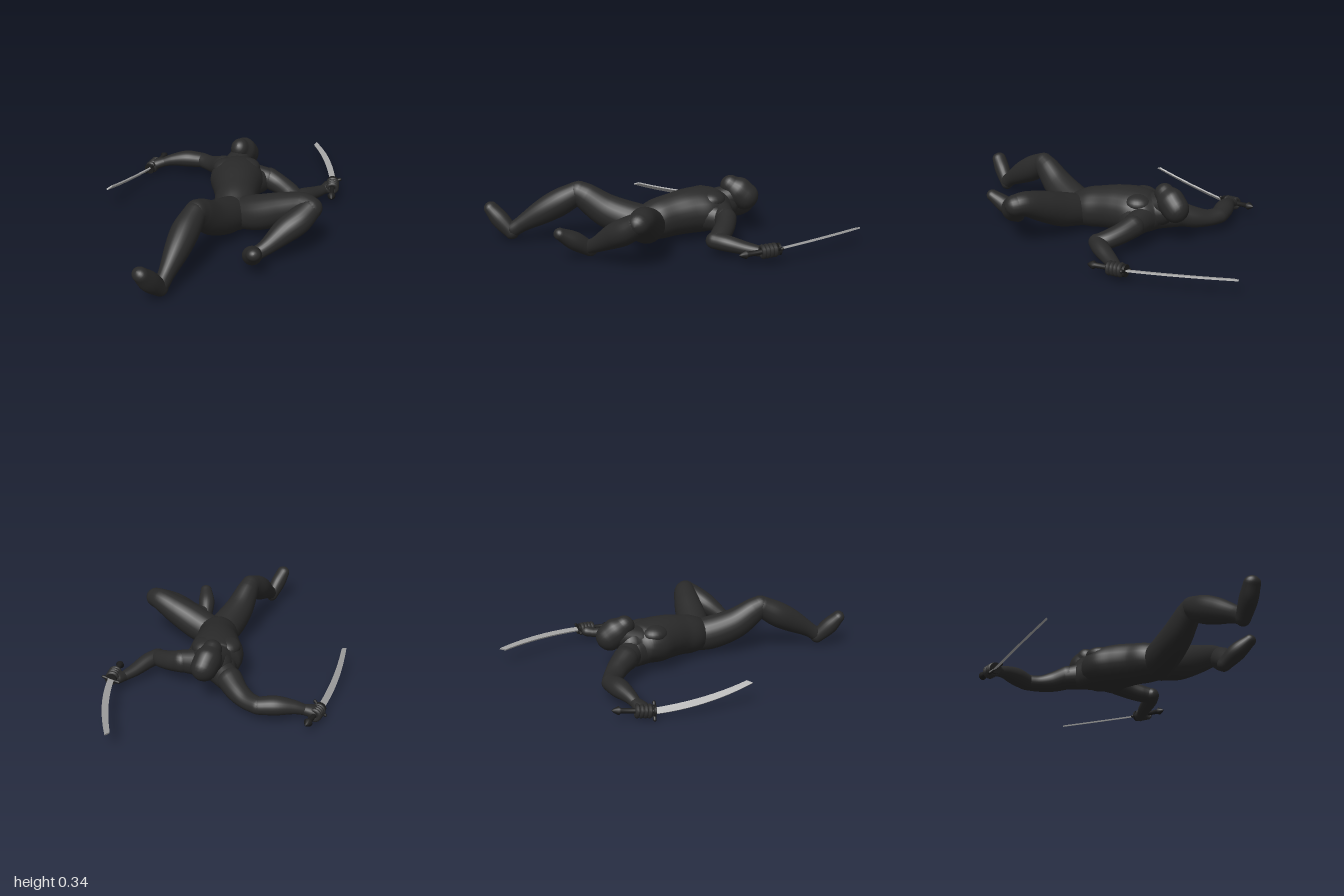
import * as THREE from 'three';

const suit = new THREE.MeshStandardMaterial({ color: 0x292929 });
suit.name = 'charcoal suit';
const grip = new THREE.MeshStandardMaterial({ color: 0x1d1d1d });
grip.name = 'black grip';
const steel = new THREE.MeshStandardMaterial({ color: 0xa4a4a4 });
steel.name = 'grey steel';

const V = (x, y, z) => new THREE.Vector3(x, y, z);

// Smooth swept body part; stations are [x, y, z, halfWidth, halfHeight], ends are rounded
function limb(name, stations) {
  const path = new THREE.CatmullRomCurve3(stations.map((s) => V(s[0], s[1], s[2])));
  const size = new THREE.CatmullRomCurve3(stations.map((s) => V(s[3], s[4], 0)), false, 'catmullrom');
  const rows = [], caps = 6, steps = (stations.length - 1) * 6, sides = 24;
  for (let i = 0; i < caps; i++) rows.push([0, -Math.cos((i / caps) * Math.PI / 2), Math.sin((i / caps) * Math.PI / 2)]);
  for (let i = 0; i <= steps; i++) rows.push([i / steps, 0, 1]);
  for (let i = caps - 1; i >= 0; i--) rows.push([1, Math.cos((i / caps) * Math.PI / 2), Math.sin((i / caps) * Math.PI / 2)]);
  const pos = [], index = [];
  rows.forEach(([u, out, k], i) => {
    const t = path.getTangent(u), r = size.getPoint(u);
    const side = V(0, 1, 0).cross(t).negate().normalize();
    const up = side.clone().cross(t);
    const c = path.getPoint(u).addScaledVector(t, out * Math.min(r.x, r.y));
    const scale = Math.max(k, 0.001);
    for (let j = 0; j < sides; j++) {
      const a = (j / sides) * Math.PI * 2;
      const p = c.clone().addScaledVector(side, Math.cos(a) * r.x * scale).addScaledVector(up, Math.sin(a) * r.y * scale);
      pos.push(p.x, p.y, p.z);
      if (i < rows.length - 1) {
        const n = (j + 1) % sides, A = i * sides, B = A + sides;
        index.push(A + j, B + j, A + n, B + j, B + n, A + n);
      }
    }
  });
  const g = new THREE.BufferGeometry();
  g.setAttribute('position', new THREE.Float32BufferAttribute(pos, 3));
  g.setIndex(index);
  g.computeVertexNormals();
  return part(name, g, suit);
}

function part(name, geometry, material, x = 0, y = 0, z = 0) {
  const m = new THREE.Mesh(geometry, material);
  m.name = name;
  m.position.set(x, y, z);
  return m;
}

// Curved sword with the fingers closed round its grip; local y runs to the tip, x towards the bulge
function sword(name, pommel, guard, tip, bulge) {
  const group = new THREE.Group();
  group.name = name;
  const y = tip.clone().sub(guard), length = y.length();
  y.normalize();
  const x = bulge.clone().addScaledVector(y, -bulge.dot(y)).normalize();
  group.quaternion.setFromRotationMatrix(new THREE.Matrix4().makeBasis(x, y, x.clone().cross(y)));
  group.position.copy(guard);

  const s = new THREE.Shape();
  s.moveTo(0.017, 0);
  s.quadraticCurveTo(0.058, length * 0.5, 0.004, length);
  s.lineTo(-0.018, length * 0.95);
  s.quadraticCurveTo(0.018, length * 0.5, -0.016, 0);
  const blade = new THREE.ExtrudeGeometry(s, { depth: 0.009, bevelEnabled: false, curveSegments: 16 });
  group.add(part('blade', blade, steel, 0, 0, -0.0045));

  // Hilt, leaning from the pommel to the guard
  const hilt = new THREE.Group();
  hilt.name = 'hilt';
  const lean = guard.clone().sub(pommel).normalize().applyQuaternion(group.quaternion.clone().invert());
  hilt.quaternion.setFromUnitVectors(V(0, 1, 0), lean);
  hilt.add(part('guard', new THREE.CylinderGeometry(0.032, 0.032, 0.012, 20), grip));
  const bar = part('crossBar', new THREE.CapsuleGeometry(0.009, 0.09, 4, 10), grip);
  bar.rotation.z = Math.PI / 2;
  hilt.add(bar);
  const profile = [[0.001, -0.215], [0.01, -0.205], [0.023, -0.18], [0.014, -0.168], [0.013, -0.1], [0.014, 0]];
  hilt.add(part('handle', new THREE.LatheGeometry(profile.map((p) => new THREE.Vector2(...p)), 14), grip));
  for (let i = 0; i < 4; i++) {
    const ring = new THREE.TorusGeometry(0.026, 0.0125, 8, 18);
    ring.rotateX(Math.PI / 2);
    hilt.add(part('finger', ring, suit, 0, -0.024 - i * 0.021, 0));
  }
  group.add(hilt);
  return group;
}

export function createModel() {
  const model = new THREE.Group();
  model.name = 'recliningSwordsman';

  // Head and neck
  model.add(limb('head', [[-0.1, 0.212, -0.355, 0.07, 0.077], [-0.09, 0.25, -0.305, 0.071, 0.081], [-0.08, 0.28, -0.268, 0.052, 0.057]]));
  model.add(limb('neck', [[-0.05, 0.185, -0.19, 0.08, 0.075], [-0.09, 0.22, -0.29, 0.063, 0.063]]));

  // Trunk, shoulders and chest
  model.add(limb('torso', [
    [-0.075, 0.17, -0.235, 0.09, 0.085], [-0.04, 0.16, -0.2, 0.135, 0.11], [0.02, 0.157, -0.13, 0.152, 0.125],
    [0.08, 0.155, -0.06, 0.134, 0.125], [0.14, 0.145, 0.01, 0.118, 0.118], [0.19, 0.132, 0.07, 0.116, 0.113],
    [0.24, 0.116, 0.12, 0.1, 0.098]]));
  model.add(limb('shoulders', [[-0.19, 0.125, -0.25, 0.068, 0.068], [-0.03, 0.145, -0.22, 0.075, 0.085], [0.12, 0.14, -0.285, 0.058, 0.065]]));
  model.add(limb('rightFlank', [[-0.115, 0.13, -0.205, 0.06, 0.08], [-0.03, 0.14, -0.1, 0.065, 0.085]]));
  model.add(limb('leftFlank', [[0.1, 0.13, -0.25, 0.055, 0.07], [0.1, 0.14, -0.15, 0.06, 0.08]]));
  for (const k of [-1, 1]) {
    const chest = part('chestMuscle', new THREE.SphereGeometry(1, 24, 16), suit, k * 0.042, 0.22, -0.15 - k * 0.042);
    chest.scale.set(0.075, 0.05, 0.08);
    chest.rotation.y = Math.PI / 4;
    model.add(chest);
  }

  // Right arm
  model.add(limb('rightUpperArm', [[-0.19, 0.13, -0.252, 0.07, 0.068], [-0.27, 0.105, -0.283, 0.06, 0.058], [-0.35, 0.09, -0.298, 0.053, 0.046], [-0.425, 0.09, -0.3, 0.048, 0.045]]));
  model.add(limb('rightForearm', [[-0.43, 0.09, -0.295, 0.05, 0.046], [-0.5, 0.095, -0.242, 0.053, 0.05], [-0.57, 0.085, -0.18, 0.038, 0.036], [-0.61, 0.07, -0.145, 0.029, 0.028]]));
  model.add(limb('rightHand', [[-0.605, 0.072, -0.15, 0.03, 0.028], [-0.64, 0.06, -0.115, 0.042, 0.032], [-0.655, 0.052, -0.1, 0.04, 0.03]]));
  model.add(sword('rightSword', V(-0.7, 0.07, -0.26), V(-0.64, 0.045, -0.05), V(-0.46, 0.135, 0.435), V(-0.65, -0.75, 0.3)));

  // Left arm
  model.add(limb('leftUpperArm', [[0.125, 0.14, -0.295, 0.058, 0.064], [0.2, 0.12, -0.305, 0.054, 0.056], [0.28, 0.1, -0.3, 0.053, 0.05], [0.33, 0.09, -0.288, 0.044, 0.044]]));
  model.add(limb('leftForearm', [[0.335, 0.088, -0.28, 0.044, 0.044], [0.345, 0.082, -0.35, 0.046, 0.043], [0.347, 0.066, -0.45, 0.039, 0.034], [0.352, 0.058, -0.53, 0.029, 0.027]]));
  model.add(limb('leftHand', [[0.352, 0.058, -0.525, 0.03, 0.027], [0.36, 0.064, -0.56, 0.042, 0.032], [0.365, 0.068, -0.575, 0.04, 0.032]]));
  model.add(sword('leftSword', V(0.455, 0.068, -0.46), V(0.35, 0.08, -0.62), V(-0.05, 0.1, -0.995), V(0.6, 0.3, -0.6)));

  // Right leg
  model.add(limb('rightThigh', [[0.225, 0.113, 0.11, 0.088, 0.095], [0.24, 0.127, 0.2, 0.095, 0.1], [0.265, 0.178, 0.34, 0.084, 0.092], [0.29, 0.255, 0.45, 0.066, 0.075], [0.3, 0.278, 0.49, 0.058, 0.066]]));
  model.add(limb('rightShin', [[0.3, 0.276, 0.495, 0.058, 0.063], [0.325, 0.222, 0.59, 0.07, 0.075], [0.358, 0.17, 0.68, 0.062, 0.068], [0.395, 0.105, 0.785, 0.041, 0.046], [0.41, 0.07, 0.835, 0.036, 0.042]]));
  model.add(limb('rightFoot', [[0.41, 0.052, 0.843, 0.037, 0.04], [0.411, 0.122, 0.912, 0.046, 0.05], [0.411, 0.182, 0.963, 0.043, 0.037]]));

  // Left leg
  model.add(limb('leftThigh', [[0.25, 0.114, 0.1, 0.09, 0.09], [0.37, 0.148, 0.08, 0.094, 0.096], [0.5, 0.205, 0.045, 0.082, 0.084], [0.61, 0.25, 0.02, 0.066, 0.066], [0.658, 0.25, 0.022, 0.06, 0.058]]));
  model.add(limb('leftShin', [[0.655, 0.245, 0.03, 0.06, 0.06], [0.638, 0.2, 0.1, 0.07, 0.068], [0.61, 0.16, 0.17, 0.065, 0.064], [0.575, 0.095, 0.275, 0.04, 0.042], [0.55, 0.068, 0.325, 0.034, 0.038]]));
  model.add(limb('leftFoot', [[0.536, 0.05, 0.33, 0.038, 0.038], [0.588, 0.106, 0.394, 0.05, 0.048], [0.642, 0.155, 0.448, 0.036, 0.032]]));

  return model;
}
